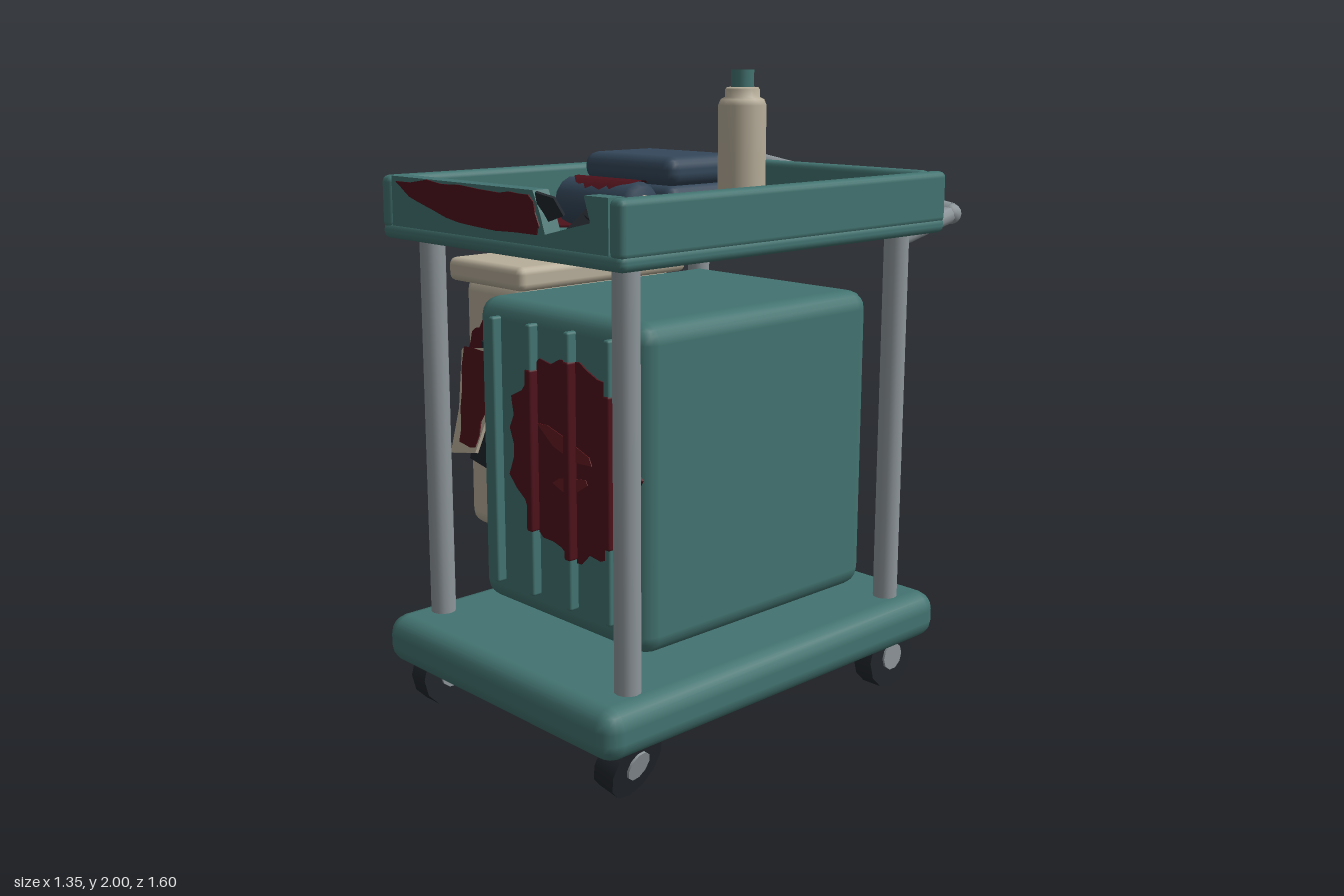
import * as THREE from 'three';
import { RoundedBoxGeometry } from 'three/addons/geometries/RoundedBoxGeometry.js';

const mat = (color) => new THREE.MeshStandardMaterial({ color, side: THREE.DoubleSide });
const TEAL = mat(0x437471), STEEL = mat(0x8e969b), BEIGE = mat(0xb8ae9a), NAVY = mat(0x34475a);
const BLOOD = mat(0x4e121b), STREAK = mat(0x661b20), DARK = mat(0x22272d);

export function createModel() {
  const model = new THREE.Group();

  const add = (name, geo, material, x = 0, y = 0, z = 0, parent = model) => {
    const m = new THREE.Mesh(geo, material);
    m.name = name;
    m.position.set(x, y, z);
    parent.add(m);
    return m;
  };

  // Rounded box given by its minimum and maximum on each axis
  const block = (name, material, [x0, x1], [y0, y1], [z0, z1], r) =>
    add(name, new RoundedBoxGeometry(x1 - x0, y1 - y0, z1 - z0, 2, r), material,
      (x0 + x1) / 2, (y0 + y1) / 2, (z0 + z1) / 2);

  // Straight round bar between two points
  const bar = (name, a, b, r, material, sides = 12) => {
    const p = new THREE.Vector3(...a), q = new THREE.Vector3(...b), d = q.clone().sub(p);
    const m = add(name, new THREE.CylinderGeometry(r, r, d.length(), sides), material);
    m.position.copy(p).add(q).multiplyScalar(0.5);
    m.quaternion.setFromUnitVectors(new THREE.Vector3(0, 1, 0), d.normalize());
    return m;
  };

  let seed = 7;
  const rand = () => (seed = (seed * 16807) % 2147483647) / 2147483647;

  // Thin plate cut from an outline
  const plate = (pts, depth) => new THREE.ExtrudeGeometry(
    new THREE.Shape(pts.map(([x, y]) => new THREE.Vector2(x, y))), { depth, bevelEnabled: false });

  // Outline with small ragged steps added along its edges
  const ragged = (pts, amount, steps = 3) => pts.flatMap(([x, y], i) => {
    const [u, v] = pts[(i + 1) % pts.length];
    return Array.from({ length: steps }, (_, k) => [
      x + (u - x) * k / steps + (rand() - 0.5) * amount,
      y + (v - y) * k / steps + (rand() - 0.5) * amount]);
  });
  const blot = (rx, ry, n = 40, rough = 0.16) => Array.from({ length: n }, (_, i) => {
    const a = i / n * Math.PI * 2, s = 1 - rough * rand();
    return [rx * s * Math.cos(a), ry * s * Math.sin(a)];
  });
  const sliver = (x0, y0, x1, y1, w) => {
    const at = (t, s) => [x0 + (x1 - x0) * t, y0 + (y1 - y0) * t + s * w];
    return [at(0, 0), at(0.3, -0.6), at(0.7, -0.5), at(1, 0.1), at(0.95, 0.5), at(0.5, 0.5), at(0.2, 0.4)];
  };

  // Base deck and tray
  block('baseDeck', TEAL, [-0.41, 0.665], [0.155, 0.31], [-0.655, 0.8], 0.06);
  block('trayFloor', TEAL, [-0.415, 0.67], [1.5, 1.55], [-0.605, 0.75], 0.022);
  for (const x of [-0.415, 0.615])
    block('traySideRail', TEAL, [x, x + 0.055], [1.53, 1.69], [-0.605, 0.75], 0.02);
  block('trayBackRail', TEAL, [-0.36, 0.615], [1.53, 1.69], [-0.6, -0.545], 0.02);

  // Front rail with a broken-out notch and bent splinters
  add('trayFrontRail', plate([[-0.36, 1.54], [0.615, 1.54], [0.615, 1.69], [0.52, 1.69], [0.545, 1.62],
    [0.46, 1.6], [0.36, 1.575], [0.34, 1.63], [0.31, 1.69], [-0.36, 1.69]], 0.055), TEAL, 0, 0, 0.69);
  const splinter = plate([[0, 0], [0.07, 0.02], [0.05, 0.07], [0, 0.09]], 0.015);
  add('railSplinter', splinter, DARK, 0.32, 1.6, 0.72).rotation.set(0.2, 0.5, 0);
  add('railSplinter', splinter, DARK, 0.4, 1.575, 0.7).rotation.set(-0.9, 0, -0.1);
  add('railSplinter', splinter, DARK, 0.53, 1.6, 0.7).rotation.set(-0.9, 0, 1.2);

  // Posts and casters; one caster is knocked askew
  for (const x of [-0.31, 0.565]) for (const z of [0.64, -0.495]) {
    bar('post', [x, 0.28, z], [x, 1.52, z], 0.039, STEEL);
    const caster = new THREE.Group();
    caster.name = 'caster';
    caster.position.set(x, 0.108, z);
    model.add(caster);
    add('wheel', new THREE.CylinderGeometry(0.106, 0.106, 0.07, 12).toNonIndexed(), DARK, 0, 0, 0, caster).rotation.z = Math.PI / 2;
    add('hub', new THREE.CylinderGeometry(0.045, 0.045, 0.084, 10), STEEL, 0, 0, 0, caster).rotation.z = Math.PI / 2;
    add('forkCrown', new THREE.BoxGeometry(0.06, 0.06, 0.06), STEEL, 0, 0.1, 0, caster);
    if (x > 0 && z > 0) caster.rotation.set(0, 0.15, -0.28);
  }

  // Push handle, bent down on one side
  const path = [[-0.31, 1.46, -0.5], [-0.315, 1.68, -0.695], [0.57, 1.54, -0.765], [0.565, 1.48, -0.5]];
  for (let i = 0; i < 3; i++) bar('handle', path[i], path[i + 1], i === 1 ? 0.036 : 0.029, STEEL, 10);
  for (const p of path.slice(1, 3)) add('handleElbow', new THREE.SphereGeometry(0.034, 10, 8), STEEL, ...p);

  // Cabinet with upright ribs, stained across the front
  block('cabinet', TEAL, [-0.255, 0.515], [0.35, 1.32], [-0.445, 0.53], 0.06);
  add('cabinetStain', plate(blot(0.31, 0.33), 0.008), BLOOD, 0.2, 0.885, 0.527);
  add('cabinetStreak', plate(sliver(0.05, 0.97, 0.3, 0.88, 0.05), 0.003), STREAK, 0, 0, 0.534);
  add('cabinetStreak', plate(sliver(0.12, 0.8, 0.28, 0.82, 0.04), 0.003), STREAK, 0, 0, 0.534);
  for (const x of [-0.135, 0.04, 0.215, 0.39]) {
    block('cabinetRib', TEAL, [x - 0.012, x + 0.012], [0.43, 1.27], [0.51, 0.562], 0.008);
    const h = 0.3 * Math.sqrt(Math.max(0, 1 - ((x - 0.2) / 0.29) ** 2));
    if (h > 0) block('ribStain', BLOOD, [x - 0.014, x + 0.014], [0.885 - h, 0.885 + h], [0.52, 0.565], 0.008);
  }

  // Side bin with lid
  block('bin', BEIGE, [-0.64, -0.31], [0.455, 1.32], [-0.375, 0.295], 0.05);
  block('binLid', BEIGE, [-0.675, -0.28], [1.3, 1.38], [-0.41, 0.33], 0.025);

  // Torn front of the bin: stain, dark hole and a flap hanging outward
  add('binStain', plate(blot(0.14, 0.26), 0.006), BLOOD, -0.49, 0.955, 0.293);
  add('binHole', plate([[-0.53, 1.11], [-0.36, 1.07], [-0.38, 0.95], [-0.45, 0.66], [-0.61, 0.69], [-0.56, 0.85]], 0.006),
    DARK, 0, 0, 0.298);
  const flap = new THREE.Group();
  flap.name = 'tornFlap';
  flap.position.set(-0.52, 1.08, 0.312);
  flap.rotation.set(-0.28, 0, 0.1);
  model.add(flap);
  add('flapPanel', plate([[-0.09, 0], [0.07, 0.01], [0.1, -0.2], [0.06, -0.34], [-0.07, -0.35], [-0.06, -0.2]], 0.012), BEIGE, 0, 0, 0, flap);
  add('flapStain', plate(ragged([[-0.08, 0], [0.07, 0], [0.09, -0.2], [0.05, -0.33], [-0.02, -0.3], [-0.05, -0.2]], 0.02), 0.004),
    BLOOD, 0, 0, 0.012, flap);

  // Spill on the tray floor and smear on the front rail
  const spill = ragged([[-0.34, 0.2], [-0.32, 0.09], [-0.2, 0.04], [0, -0.06], [0.13, -0.16], [0.33, -0.19], [0.42, -0.06],
    [0.52, 0.05], [0.45, 0.14], [0.43, 0.27], [0.36, 0.36], [0.14, 0.43], [0.04, 0.52], [-0.1, 0.47], [-0.3, 0.44], [-0.33, 0.34]], 0.035);
  add('traySpill', plate(spill, 0.006), BLOOD, 0, 1.557, 0).rotation.x = Math.PI / 2;
  add('spillStreak', plate(sliver(-0.2, 0.21, 0.22, 0.13, 0.06), 0.003), STREAK, 0, 1.56, 0).rotation.x = Math.PI / 2;
  add('spillStreak', plate(sliver(-0.12, 0.15, 0.26, 0.07, 0.05), 0.003), STREAK, 0, 1.56, 0).rotation.x = Math.PI / 2;
  add('railSmear', plate(ragged([[-0.33, 1.68], [-0.1, 1.685], [0.16, 1.675], [0.3, 1.68], [0.34, 1.6], [0.33, 1.57],
    [0.05, 1.575], [-0.15, 1.6], [-0.27, 1.63]], 0.012), 0.006), BLOOD, 0, 0, 0.743);

  // Folded cloths
  block('foldedCloth', NAVY, [-0.27, 0.14], [1.555, 1.65], [-0.22, 0.07], 0.04);
  block('foldedCloth', NAVY, [-0.275, 0.145], [1.645, 1.737], [-0.23, 0.075], 0.04);

  // Upright spray bottle
  const profile = (pts) => new THREE.LatheGeometry(pts.map(([r, y]) => new THREE.Vector2(r, y)), 14);
  add('bottle', profile([[0, 0], [0.06, 0], [0.07, 0.015], [0.07, 0.345], [0.063, 0.362], [0.05, 0.368],
    [0.05, 0.39], [0.045, 0.396], [0, 0.396]]), BEIGE, 0.42, 1.555, 0.055);
  add('bottleCap', new THREE.CylinderGeometry(0.034, 0.034, 0.06, 12), TEAL, 0.42, 1.97, 0.055);

  // Toppled bottle with a stain wrapped over its upper side
  const toppled = add('toppledBottle', profile([[0, 0], [0.058, 0], [0.07, 0.015], [0.07, 0.3], [0.058, 0.32], [0, 0.32]]),
    NAVY, 0.05, 1.625, 0.395);
  toppled.rotation.z = -Math.PI / 2;
  add('toppledCap', new THREE.CylinderGeometry(0.034, 0.034, 0.08, 12), BEIGE, 0.405, 1.625, 0.395).rotation.z = Math.PI / 2;
  const wrap = new THREE.PlaneGeometry(0.28, 2, 14, 10);
  const pos = wrap.attributes.position;
  for (let i = 0; i < pos.count; i++) {
    const t = pos.getX(i) / 0.14;
    const a = pos.getY(i) * 0.95 * Math.sqrt(Math.max(0.04, 1 - t * t)) * (0.9 + 0.12 * Math.sin(t * 17));
    pos.setXYZ(i, pos.getX(i), 0.074 * Math.cos(a), -0.074 * Math.sin(a));
  }
  wrap.computeVertexNormals();
  add('toppledStain', wrap, BLOOD, 0.225, 1.625, 0.395);

  return model;
}
